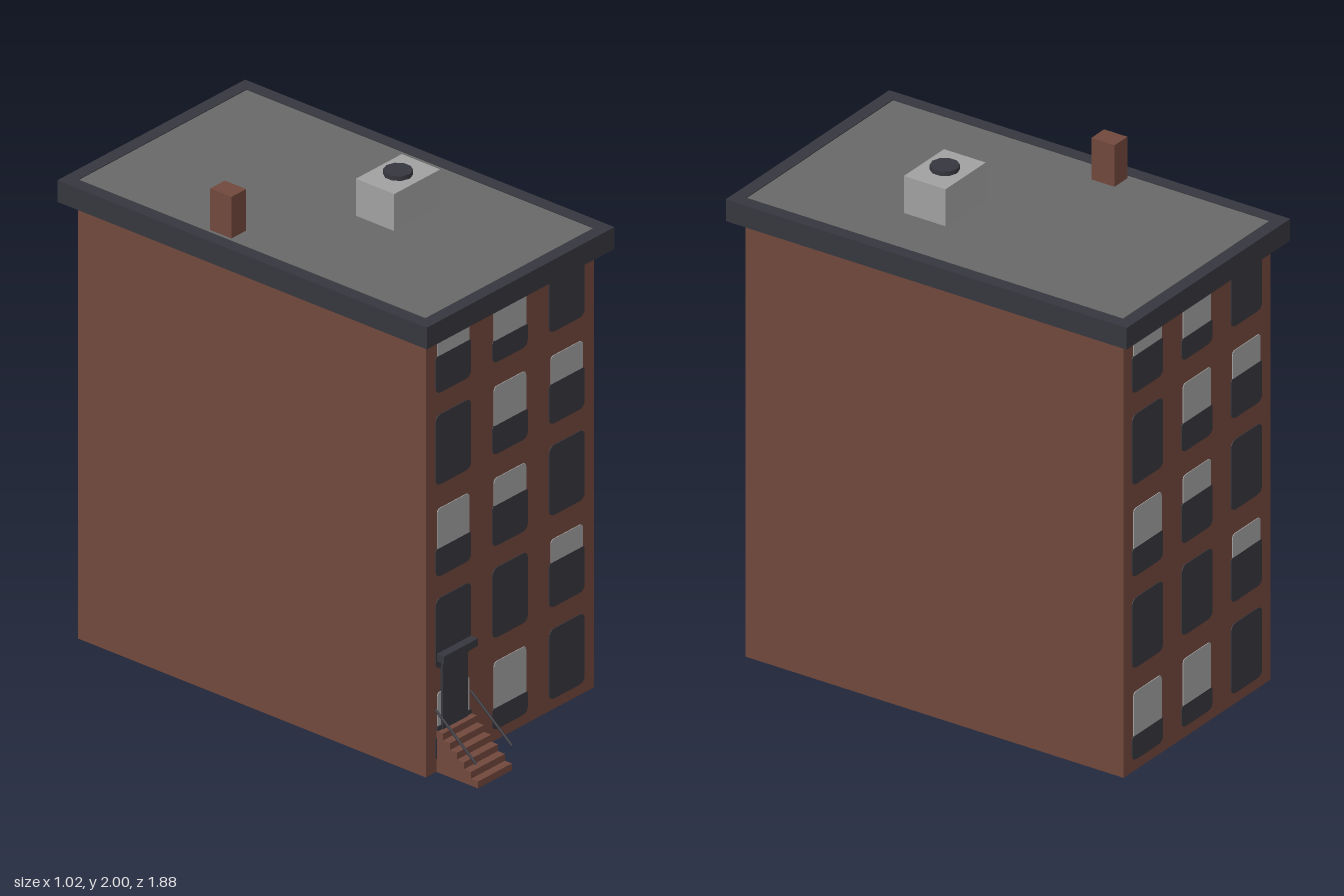
import * as THREE from 'three';

const material = (name, color) => {
  const m = new THREE.MeshStandardMaterial({ color });
  m.name = name;
  return m;
};

export function createModel() {
  const brick = material('brick', 0x70483c);
  const dark = material('dark slate', 0x36363e);
  const roofGrey = material('roof grey', 0x686868);
  const light = material('light grey', 0xa0a0a0);

  const model = new THREE.Group();
  model.name = 'apartmentBuilding';

  const add = (parent, name, geometry, mat) => {
    const mesh = new THREE.Mesh(geometry, mat);
    mesh.name = name;
    parent.add(mesh);
    return mesh;
  };
  // Box given by its minimum and maximum on each axis
  const box = (name, mat, [x0, x1], [y0, y1], [z0, z1]) => {
    const mesh = add(model, name, new THREE.BoxGeometry(x1 - x0, y1 - y0, z1 - z0), mat);
    mesh.position.set((x0 + x1) / 2, (y0 + y1) / 2, (z0 + z1) / 2);
    return mesh;
  };

  // Main block
  const front = 0.745, back = -0.885, midZ = (front + back) / 2;
  box('brickWalls', brick, [-0.457, 0.457], [0, 1.76], [back, front]);

  // Roof slab edge with an inset roof surface
  const rect = (target, w, d) => {
    target.moveTo(-w, -d);
    target.lineTo(w, -d);
    target.lineTo(w, d);
    target.lineTo(-w, d);
    target.closePath();
    return target;
  };
  const rim = rect(new THREE.Shape(), 0.509, 0.865);
  rim.holes.push(rect(new THREE.Path(), 0.457, 0.813));
  const rimGeometry = new THREE.ExtrudeGeometry(rim, { depth: 0.087, bevelEnabled: false });
  rimGeometry.rotateX(-Math.PI / 2);
  add(model, 'roofEdge', rimGeometry, dark).position.set(0, 1.75, midZ);
  box('roofSurface', roofGrey, [-0.457, 0.457], [1.755, 1.834], [midZ - 0.813, midZ + 0.813]);

  // Rooftop details
  box('chimney', brick, [-0.44, -0.36], [1.83, 2], [-0.28, -0.18]);
  box('airConditioner', light, [-0.02, 0.23], [1.83, 1.982], [0.04, 0.22]);
  const fan = add(model, 'fan', new THREE.CylinderGeometry(0.054, 0.054, 0.03, 10), dark);
  fan.position.set(0.105, 1.985, 0.13);

  // Thin window plate with separate bottom and top corner radii
  const plate = (w, y0, y1, rb, rt) => {
    const s = new THREE.Shape();
    const h = w / 2;
    s.moveTo(-h + rb, y0);
    s.lineTo(h - rb, y0);
    s.quadraticCurveTo(h, y0, h, y0 + rb);
    s.lineTo(h, y1 - rt);
    s.quadraticCurveTo(h, y1, h - rt, y1);
    s.lineTo(-h + rt, y1);
    s.quadraticCurveTo(-h, y1, -h, y1 - rt);
    s.lineTo(-h, y0 + rb);
    s.quadraticCurveTo(-h, y0, -h + rb, y0);
    return new THREE.ExtrudeGeometry(s, { depth: 0.003, bevelEnabled: false, curveSegments: 4 });
  };

  // Height of each blind's lower edge, by row and column (0 = no blind)
  const blinds = [
    [0.14, 0.13, 0],
    [0, 0, 0.59],
    [0.89, 0.94, 0],
    [0, 1.26, 1.305],
    [1.66, 1.6, 0],
  ];
  const columns = [-0.31, -0.002, 0.306];

  // Windows are the same on the front and, turned around, on the back
  for (const side of ['front', 'back']) {
    const facade = new THREE.Group();
    facade.name = side + 'Windows';
    facade.position.z = midZ;
    if (side === 'back') facade.rotation.y = Math.PI;
    model.add(facade);
    const wallZ = (front - back) / 2;
    blinds.forEach((row, r) => row.forEach((edge, c) => {
      const y0 = 0.043 + r * 0.367;
      const y1 = Math.min(y0 + 0.28, 1.755);
      const topRadius = r === 4 ? 0.002 : 0.03;
      const pane = edge ? plate(0.192, y0, edge, 0.03, 0.012) : plate(0.192, y0, y1, 0.03, topRadius);
      add(facade, 'windowPane', pane, dark).position.set(columns[c], 0, wallZ);
      if (edge) {
        const blind = plate(0.174, edge, y1 - (r === 4 ? 0 : 0.008), 0.002, r === 4 ? 0.002 : 0.018);
        add(facade, 'windowBlind', blind, light).position.set(columns[c], 0, wallZ);
      }
    }));
  }

  // Entrance
  box('door', dark, [-0.378, -0.241], [0.165, 0.45], [front - 0.01, 0.757]);
  box('doorCanopy', dark, [-0.4, -0.216], [0.443, 0.473], [front - 0.01, 0.781]);
  box('threshold', dark, [-0.4, -0.216], [0.163, 0.182], [front - 0.01, 0.752]);

  // Stoop, cut as one stepped profile
  const steps = 6, rise = 0.164 / steps, run = 0.195 / steps;
  const profile = new THREE.Shape();
  profile.moveTo(0, 0);
  profile.lineTo(0.195, 0);
  for (let i = 0; i < steps; i++) {
    profile.lineTo(0.195 - i * run, (i + 1) * rise);
    profile.lineTo(0.195 - (i + 1) * run, (i + 1) * rise);
  }
  const stairs = new THREE.ExtrudeGeometry(profile, { depth: 0.184, bevelEnabled: false });
  stairs.rotateY(-Math.PI / 2);
  add(model, 'frontSteps', stairs, brick).position.set(-0.216, 0, front);

  // Sloping handrails
  for (const x of [-0.404, -0.212]) {
    const path = new THREE.LineCurve3(
      new THREE.Vector3(x, 0.25, front),
      new THREE.Vector3(x, 0.096, 0.937),
    );
    add(model, 'handrail', new THREE.TubeGeometry(path, 1, 0.005, 6), dark);
  }

  return model;
}
